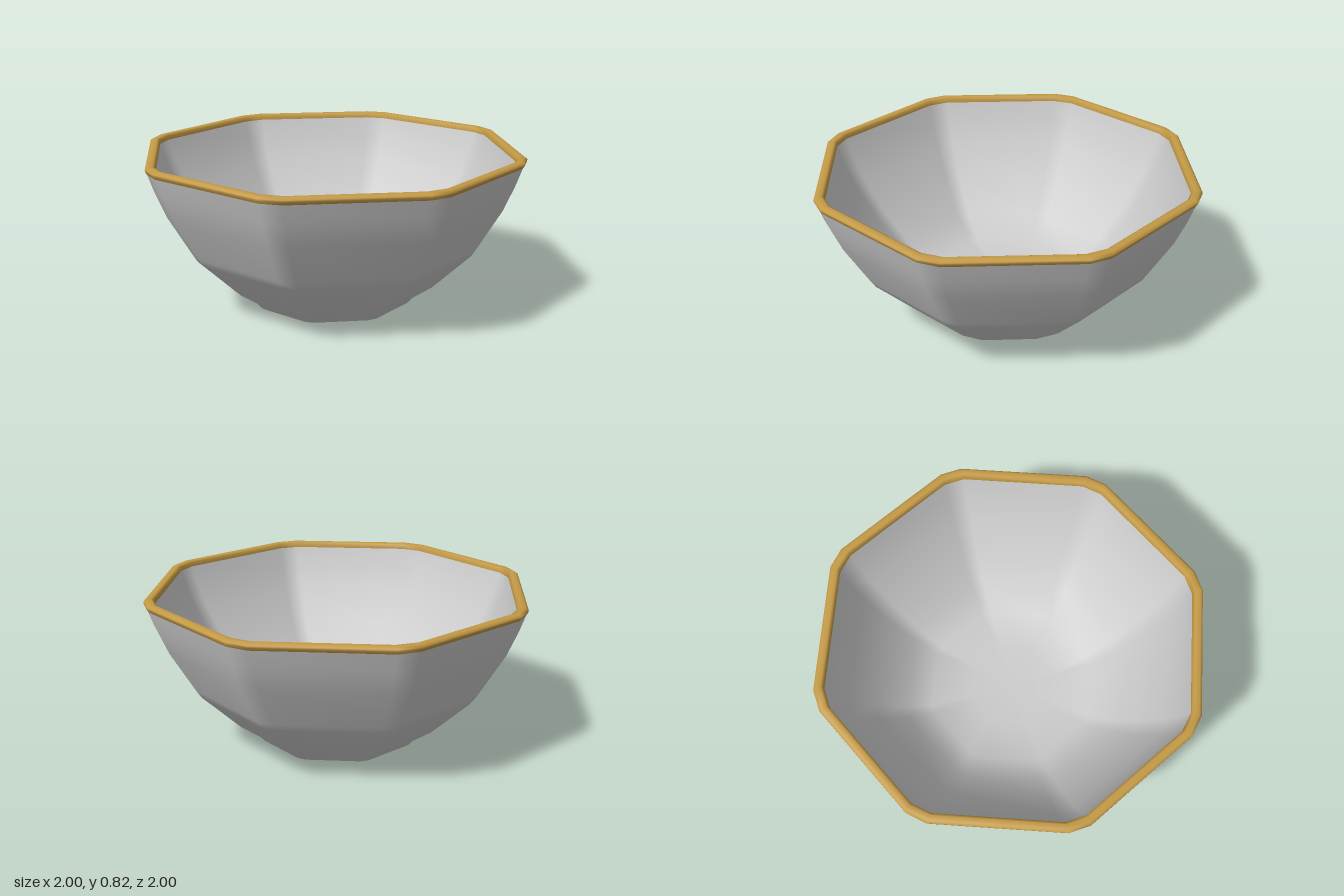
import * as THREE from 'three';
import { mergeVertices } from 'three/addons/utils/BufferGeometryUtils.js';

const SIDES = 8;
const CHAMFER = 0.056; // half width of each cut corner, relative to the radius

// Revolves a profile of [radius, height] points into an octagon with cut corners.
function octagonLathe(name, profile, color) {
  const points = profile.map(([r, y]) => new THREE.Vector2(r, y));
  let geometry = new THREE.LatheGeometry(points, SIDES * 2);
  const pos = geometry.attributes.position;
  for (let i = 0; i < pos.count; i++) {
    const column = Math.floor(i / points.length) % (SIDES * 2);
    const { x: r, y } = points[i % points.length];
    const a = Math.floor(column / 2) * Math.PI * 2 / SIDES;
    const t = (column % 2 ? 1 : -1) * CHAMFER * r;
    pos.setXYZ(i, r * Math.sin(a) + t * Math.cos(a), y, r * Math.cos(a) - t * Math.sin(a));
  }
  geometry.deleteAttribute('uv');
  geometry.deleteAttribute('normal');
  geometry = mergeVertices(geometry, 1e-4);
  geometry.computeVertexNormals();
  const mesh = new THREE.Mesh(geometry, new THREE.MeshStandardMaterial({ color }));
  mesh.name = name;
  return mesh;
}

export function createModel() {
  const group = new THREE.Group();
  group.name = 'bowl';

  // Outer wall, from the foot up to the rim
  group.add(octagonLathe('outerWall', [
    [0.4, 0], [0.42, 0.008], [0.445, 0.037], [0.55, 0.11], [0.75, 0.305],
    [0.775, 0.345], [0.9, 0.56], [0.955, 0.69], [0.988, 0.785],
  ], 0xcccccc));

  // Underside with a shallow recess inside the foot ring
  group.add(octagonLathe('underside', [
    [0, 0.035], [0.345, 0.035], [0.37, 0.025], [0.385, 0.003], [0.4, 0],
  ], 0xcccccc));

  // Inner wall and floor
  group.add(octagonLathe('innerWall', [
    [0.945, 0.79], [0.915, 0.7], [0.85, 0.56], [0.735, 0.38], [0.59, 0.215],
    [0.45, 0.125], [0.22, 0.105], [0, 0.1],
  ], 0xcccccc));

  // Coloured band around the lip
  group.add(octagonLathe('rim', [
    [0.988, 0.785], [0.998, 0.8], [0.998, 0.81], [0.985, 0.819],
    [0.96, 0.82], [0.947, 0.813], [0.945, 0.79],
  ], 0xc49a45));

  return group;
}
